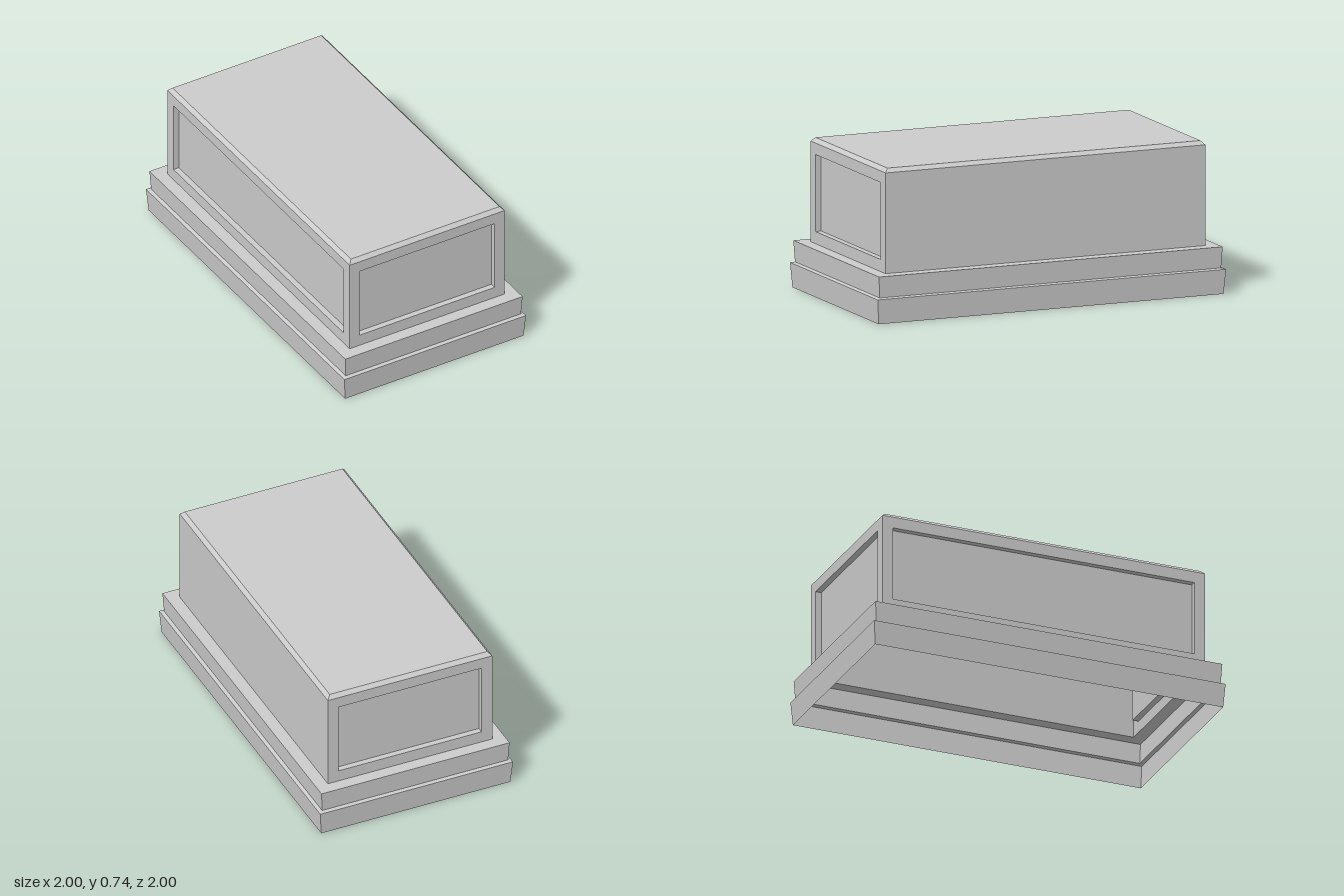
import * as THREE from 'three';

const mat = new THREE.MeshStandardMaterial({ color: 0xcccccc, flatShading: true, side: THREE.DoubleSide });
const HU = 0.909, HV = 0.505;           // half length and half width at the widest
const INSET = 0.074;                    // body set in from the plinth
const Y0 = 0.228, Y1 = 0.716, TOP = 0.735;

// Skin through stacked rectangles given as [y, halfX, halfZ]; optional flat lid
function rectLoft(name, rings, lid = false) {
  const pos = [];
  const loops = rings.map(([y, a, b]) => [[-a, y, b], [a, y, b], [a, y, -b], [-a, y, -b]]);
  const quad = (a, b, c, d) => pos.push(...a, ...b, ...c, ...a, ...c, ...d);
  for (let i = 0; i < loops.length - 1; i++) {
    for (let k = 0; k < 4; k++) {
      const n = (k + 1) % 4;
      quad(loops[i][k], loops[i][n], loops[i + 1][n], loops[i + 1][k]);
    }
  }
  if (lid) quad(...loops[loops.length - 1]);
  const geo = new THREE.BufferGeometry();
  geo.setAttribute('position', new THREE.Float32BufferAttribute(pos, 3));
  geo.computeVertexNormals();
  const mesh = new THREE.Mesh(geo, mat);
  mesh.name = name;
  return mesh;
}

// Ring at height y, set in from the widest outline
const ring = (y, inset) => [y, HU - inset, HV - inset];

// Wall facing +z with its foot at y = Y0, optionally holding a sunken panel
function wall(name, halfW, dist, angle, sunken) {
  const group = new THREE.Group();
  group.name = name;
  const shape = new THREE.Shape([[-halfW, Y0], [halfW, Y0], [halfW, Y1], [-halfW, Y1]]
    .map(p => new THREE.Vector2(...p)));
  if (sunken) {
    const w = halfW - 0.056, lo = 0.287, hi = 0.66, depth = 0.03;
    shape.holes.push(new THREE.Path([[-w, lo], [-w, hi], [w, hi], [w, lo]]
      .map(p => new THREE.Vector2(...p))));
    // Tray: four jambs and the panel behind them
    const h = (hi - lo) / 2;
    const tray = rectLoft('sunkenPanel', [[0, w, h], [depth, w, h]], true);
    tray.rotation.x = -Math.PI / 2;
    tray.position.set(0, (lo + hi) / 2, dist);
    group.add(tray);
  }
  const face = new THREE.Mesh(new THREE.ShapeGeometry(shape), mat);
  face.name = sunken ? 'wallFrame' : 'plainWall';
  face.position.z = dist;
  group.add(face);
  group.rotation.y = angle;
  return group;
}

export function createModel() {
  const model = new THREE.Group();
  model.name = 'steppedBox';
  const body = new THREE.Group();
  body.name = 'box';

  // Two-tier plinth, open underneath, each tier flaring slightly upward
  body.add(rectLoft('plinth', [
    ring(0, 0.009), ring(0.12, 0), ring(0.125, 0.018), ring(Y0, 0.012), ring(Y0, INSET),
  ]));

  // Four walls: three with sunken panels, one plain
  const u = HU - INSET, v = HV - INSET;
  body.add(
    wall('longPanelWall', u, v, 0, true),
    wall('endWallA', v, u, Math.PI / 2, true),
    wall('endWallB', v, u, -Math.PI / 2, true),
    wall('longPlainWall', u, v, Math.PI, false),
  );

  // Bevelled lid
  body.add(rectLoft('lid', [ring(Y1, INSET), ring(TOP, INSET + 0.018)], true));

  // The box stands diagonally
  body.rotation.y = -Math.PI / 4;
  model.add(body);
  return model;
}
